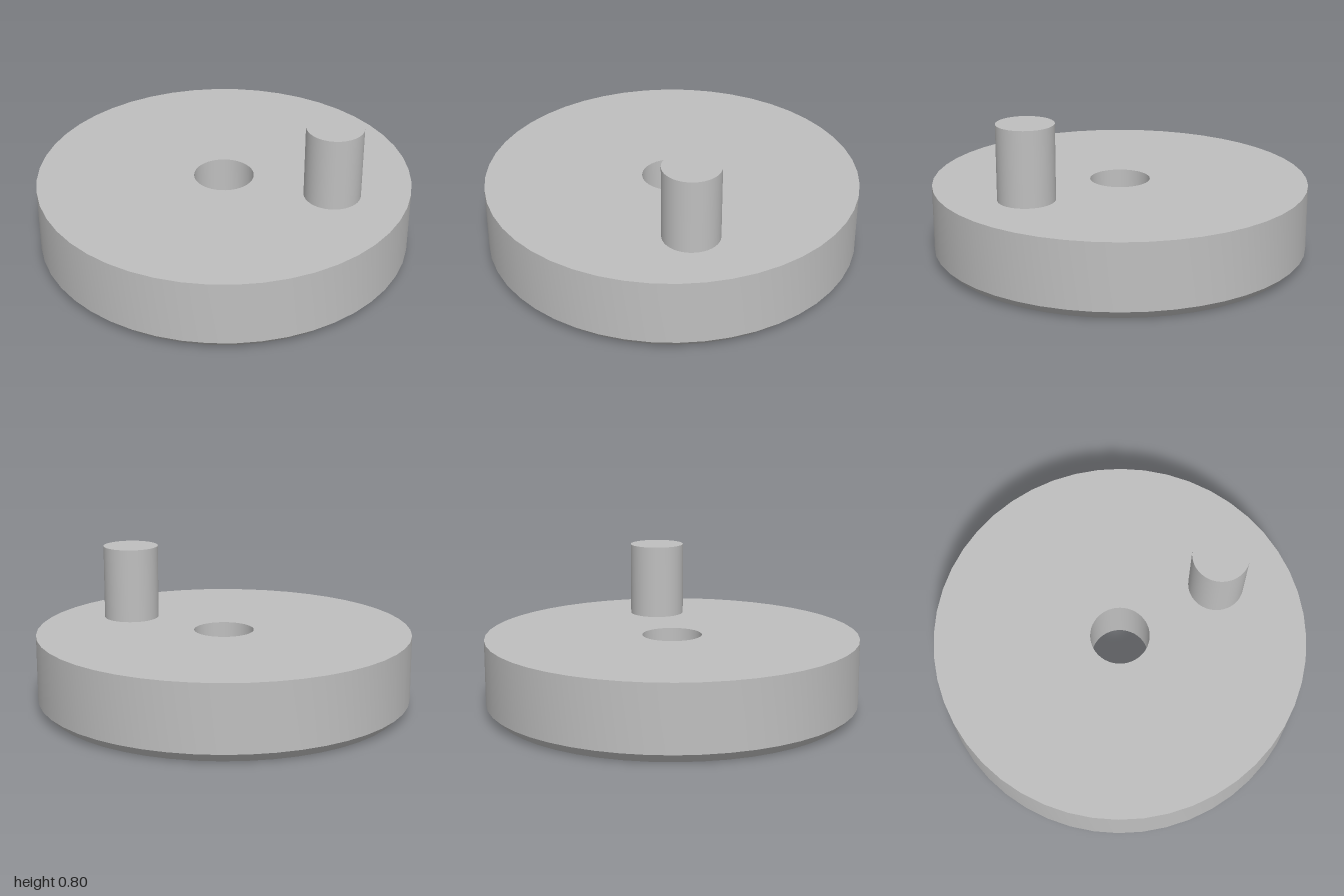
import * as THREE from 'three';
import { toCreasedNormals } from 'three/addons/utils/BufferGeometryUtils.js';

const material = new THREE.MeshStandardMaterial({ color: 0xbfbfbf });
material.name = 'light grey metal';

// Solid of revolution from [radius, height] pairs, with crisp edges
function turned(name, profile, segments) {
  const points = profile.map(([r, y]) => new THREE.Vector2(r, y));
  const mesh = new THREE.Mesh(toCreasedNormals(new THREE.LatheGeometry(points, segments), 0.5), material);
  mesh.name = name;
  return mesh;
}

export function createModel() {
  const model = new THREE.Group();
  model.name = 'crankDisc';

  // Disc with a through bore; bottom edges of rim and bore are chamfered
  model.add(turned('disc', [
    [0.21, 0], [0.95, 0], [1, 0.05], [1, 0.4],
    [0.16, 0.4], [0.16, 0.05], [0.21, 0],
  ], 48));

  // Off-centre crank pin standing on the disc
  const pin = new THREE.Mesh(new THREE.CylinderGeometry(0.15, 0.15, 0.4, 48), material);
  pin.name = 'crankPin';
  pin.position.set(0.6, 0.6, 0);
  model.add(pin);

  return model;
}
